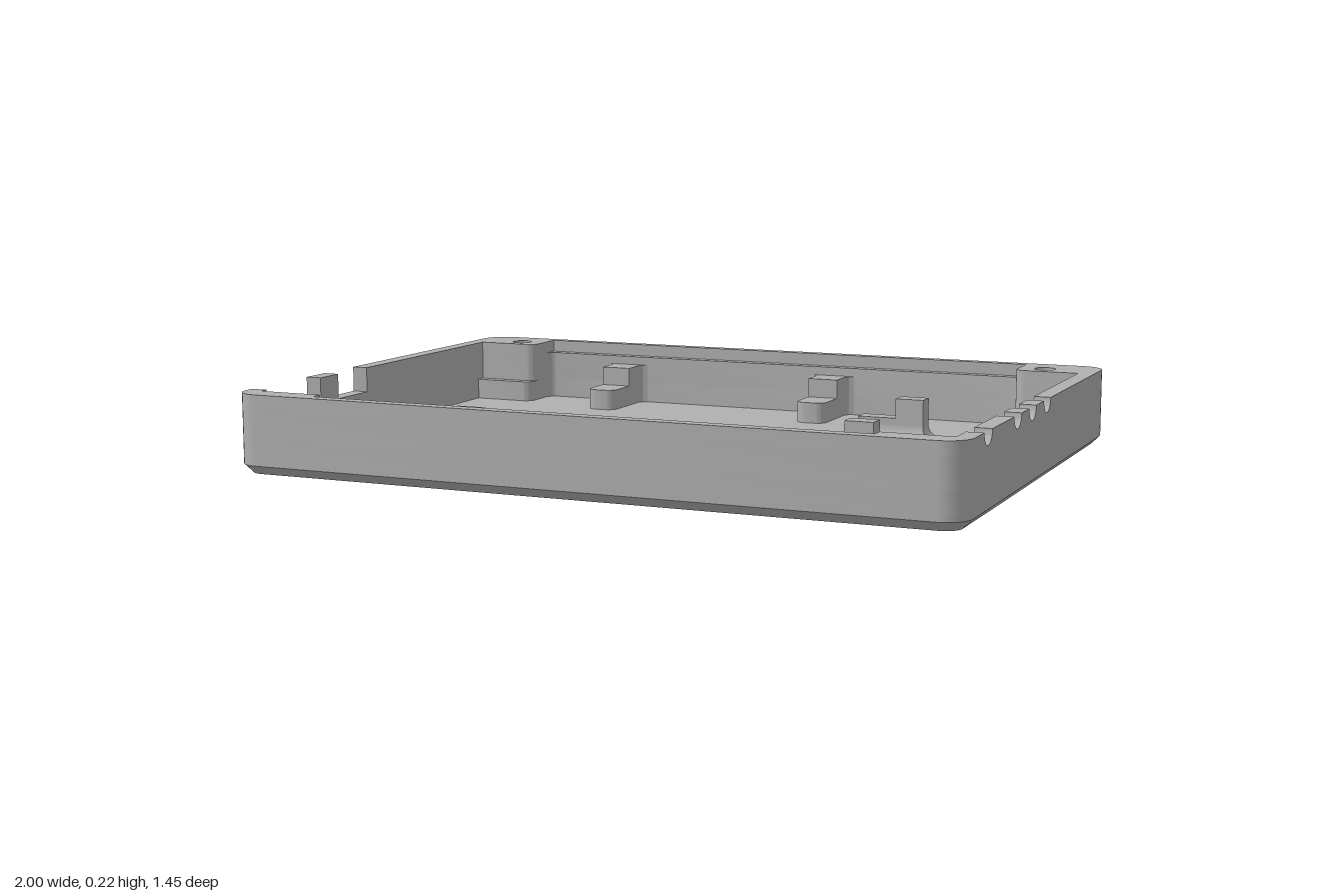
import * as THREE from 'three';
import { toCreasedNormals } from 'three/addons/utils/BufferGeometryUtils.js';

const FLOOR = 0.04, LEDGE = 0.10, NOTCH = 0.145, SLOT = 0.18, TOP = 0.215;
const BACK_SCREWS = [[-0.845, -0.62], [0.845, -0.62]];
const FRONT_SCREWS = [[-0.645, 0.61], [0.635, 0.61]];
const SCREWS = [...BACK_SCREWS, ...FRONT_SCREWS];

// Plan outline from [x, z, cornerRadius] points with rounded right-angle corners
function outline(pts, PathType = THREE.Shape) {
  const path = new PathType(), n = pts.length, k = 0.5523;
  const v = pts.map(([x, z]) => new THREE.Vector2(x, -z));
  pts.forEach(([, , r = 0], i) => {
    const p = v[i];
    const a = p.clone().add(v[(i + n - 1) % n].clone().sub(p).setLength(r));
    const b = p.clone().add(v[(i + 1) % n].clone().sub(p).setLength(r));
    if (i === 0) path.moveTo(a.x, a.y); else path.lineTo(a.x, a.y);
    if (r > 0) {
      const c = a.clone().lerp(p, k), d = b.clone().lerp(p, k);
      path.bezierCurveTo(c.x, c.y, d.x, d.y, b.x, b.y);
    }
  });
  path.closePath();
  return path;
}

const roundedRect = (x, z, r) => outline([[-x, z, r], [x, z, r], [x, -z, r], [-x, -z, r]]);

// Round or six-sided holes at the screw positions
function drill(shape, centres, radius, sides) {
  for (const [x, z] of centres) {
    const pts = [];
    for (let i = 0; i < sides; i++) {
      const a = (i / sides) * Math.PI * 2;
      pts.push(new THREE.Vector2(x + radius * Math.cos(a), -z + radius * Math.sin(a)));
    }
    shape.holes.push(new THREE.Path(pts));
  }
  return shape;
}

// Plan shape raised from y0 to y1
function slab(shape, y0, y1) {
  const g = new THREE.ExtrudeGeometry(shape, { depth: y1 - y0, bevelEnabled: false, curveSegments: 8 });
  g.rotateX(-Math.PI / 2).translate(0, y0, 0);
  return toCreasedNormals(g, 0.6);
}

// Side-wall profile, drawn with X = -z, given thickness from x0 to x1
function sideWall(shape, x0, x1) {
  const g = new THREE.ExtrudeGeometry(shape, { depth: x1 - x0, bevelEnabled: false, curveSegments: 16 });
  g.rotateY(Math.PI / 2).translate(x0, 0, 0);
  return toCreasedNormals(g, 0.6);
}

// Skin between equal closed rings of [x, y, z], counter-clockwise from above
function loft(rings) {
  const pos = [];
  for (let j = 0; j < rings.length - 1; j++) {
    const lo = rings[j], hi = rings[j + 1], n = lo.length;
    for (let i = 0; i < n; i++) {
      const m = (i + 1) % n;
      pos.push(...lo[i], ...lo[m], ...hi[m], ...lo[i], ...hi[m], ...hi[i]);
    }
  }
  const g = new THREE.BufferGeometry();
  g.setAttribute('position', new THREE.Float32BufferAttribute(pos, 3));
  g.computeVertexNormals();
  return toCreasedNormals(g, 0.6);
}

// Back wall with its two corner screw blocks
function backWall(z, r) {
  return drill(outline([
    [-1, -0.5], [-0.955, -0.5], [-0.955, -0.56], [-0.77, -0.56, 0.03], [-0.77, z, r],
    [0.77, z, r], [0.77, -0.56, 0.03], [0.955, -0.56], [0.955, -0.5], [1, -0.5],
    [1, -0.725, 0.07], [-1, -0.725, 0.07],
  ]), BACK_SCREWS, 0.03, 24);
}

// Front wall, optionally with the long slot cut in its inner face
function frontWall(slotted) {
  const slot = slotted ? [[0.77, 0.655], [0.77, 0.69], [-0.77, 0.69], [-0.77, 0.655]] : [];
  return outline([
    [-1, 0.63], [-1, 0.725, 0.07], [1, 0.725, 0.07], [1, 0.63], [0.955, 0.63],
    [0.955, 0.655], ...slot, [-0.955, 0.655], [-0.955, 0.63],
  ]);
}

export function createModel() {
  const model = new THREE.Group();
  const grey = new THREE.MeshStandardMaterial({ color: 0xb0b0b0 });
  grey.name = 'grey plastic';
  const add = (name, geometry) => {
    const mesh = new THREE.Mesh(geometry, grey);
    mesh.name = name;
    model.add(mesh);
    return mesh;
  };
  const box = (name, x0, x1, y0, y1, z0, z1) => add(name, new THREE.BoxGeometry(x1 - x0, y1 - y0, z1 - z0))
    .position.set((x0 + x1) / 2, (y0 + y1) / 2, (z0 + z1) / 2);

  // Underside with hexagonal nut pockets and a chamfered edge
  add('underside', slab(drill(roundedRect(0.975, 0.70, 0.045), SCREWS, 0.05, 6), 0, 0.025));
  const ring = (s, y) => s.getPoints(8).map((p) => [p.x, y, -p.y]);
  add('bottomChamfer', loft([ring(roundedRect(0.975, 0.70, 0.045), 0), ring(roundedRect(1, 0.725, 0.07), 0.025)]));
  add('floor', slab(drill(roundedRect(1, 0.725, 0.07), SCREWS, 0.05, 6), 0.025, FLOOR));

  // Lower body: ledges, front shelf and the two low tongues on the back wall
  const tongues = [-0.54, 0.14];
  const cavity = [[-0.955, 0.5, 0.03], [0.955, 0.5, 0.03], [0.955, -0.53], [0.77, -0.53, 0.03], [0.77, -0.665, 0.03]];
  for (const x of [...tongues].reverse()) {
    cavity.push([x + 0.09, -0.665, 0.025], [x + 0.09, -0.46, 0.03], [x, -0.46, 0.03], [x, -0.665, 0.025]);
  }
  cavity.push([-0.77, -0.665, 0.03], [-0.77, -0.53, 0.03], [-0.955, -0.53]);
  const lower = drill(roundedRect(1, 0.725, 0.07), SCREWS, 0.03, 24);
  lower.holes.push(outline(cavity, THREE.Path));
  add('lowerBody', slab(lower, FLOOR, LEDGE));

  // Raised steps on the tongues, flared into the back wall
  for (const x of tongues) {
    add('tongueStep', slab(outline([
      [x - 0.03, -0.68], [x - 0.03, -0.665], [x, -0.665, 0.025], [x, -0.575],
      [x + 0.09, -0.575], [x + 0.09, -0.665, 0.025], [x + 0.12, -0.665], [x + 0.12, -0.68],
    ]), LEDGE, 0.155));
  }

  // Back and front walls, slotted near the rim
  add('backWall', slab(backWall(-0.665, 0.03), LEDGE, SLOT));
  add('backWallRim', slab(backWall(-0.695, 0), SLOT, TOP));
  add('frontWall', slab(frontWall(false), LEDGE, SLOT));
  add('frontWallRim', slab(frontWall(true), SLOT, TOP));

  // Wall on -x with two openings and a post between them
  const open = [[-0.5, LEDGE], [-0.5, TOP], [0.13, TOP], [0.13, NOTCH], [0.28, NOTCH], [0.28, TOP], [0.37, TOP], [0.37, LEDGE]];
  add('rightWall', sideWall(new THREE.Shape(open.map(([z, y]) => new THREE.Vector2(-z, y))), -1, -0.955));

  // Wall on +x with four half-round cable notches
  const notched = new THREE.Shape();
  notched.moveTo(-0.63, LEDGE);
  notched.lineTo(-0.63, TOP);
  for (const z of [0.54, 0.27, 0.125, -0.025]) notched.absarc(-z, TOP, 0.035, Math.PI, Math.PI * 2, false);
  notched.lineTo(0.5, TOP);
  notched.lineTo(0.5, LEDGE);
  add('leftWall', sideWall(notched, 0.955, 1));

  // Stepped supports with a concave flare at the foot
  const support = (x0, x1, z0, z1, tall) => {
    box('supportBase', x0, x1, FLOOR, LEDGE, z0, z1);
    box('supportStop', tall[0], tall[1], LEDGE, 0.155, tall[2], tall[3]);
    const rings = [], r = 0.04;
    for (let i = 0; i <= 6; i++) {
      const t = (i / 6) * Math.PI / 2, o = r * (1 - Math.sin(t)), y = FLOOR + r * (1 - Math.cos(t));
      rings.push([[x0 - o, y, z1 + o], [x1 + o, y, z1 + o], [x1 + o, y, z0 - o], [x0 - o, y, z0 - o]]);
    }
    add('supportFlare', loft(rings));
  };
  for (const z of [-0.325, 0.108]) support(0.4, 0.59, z, z + 0.052, [0.51, 0.59, z, z + 0.052]);
  support(-0.545, -0.46, 0.24, 0.37, [-0.545, -0.46, 0.325, 0.37]);

  return model;
}
